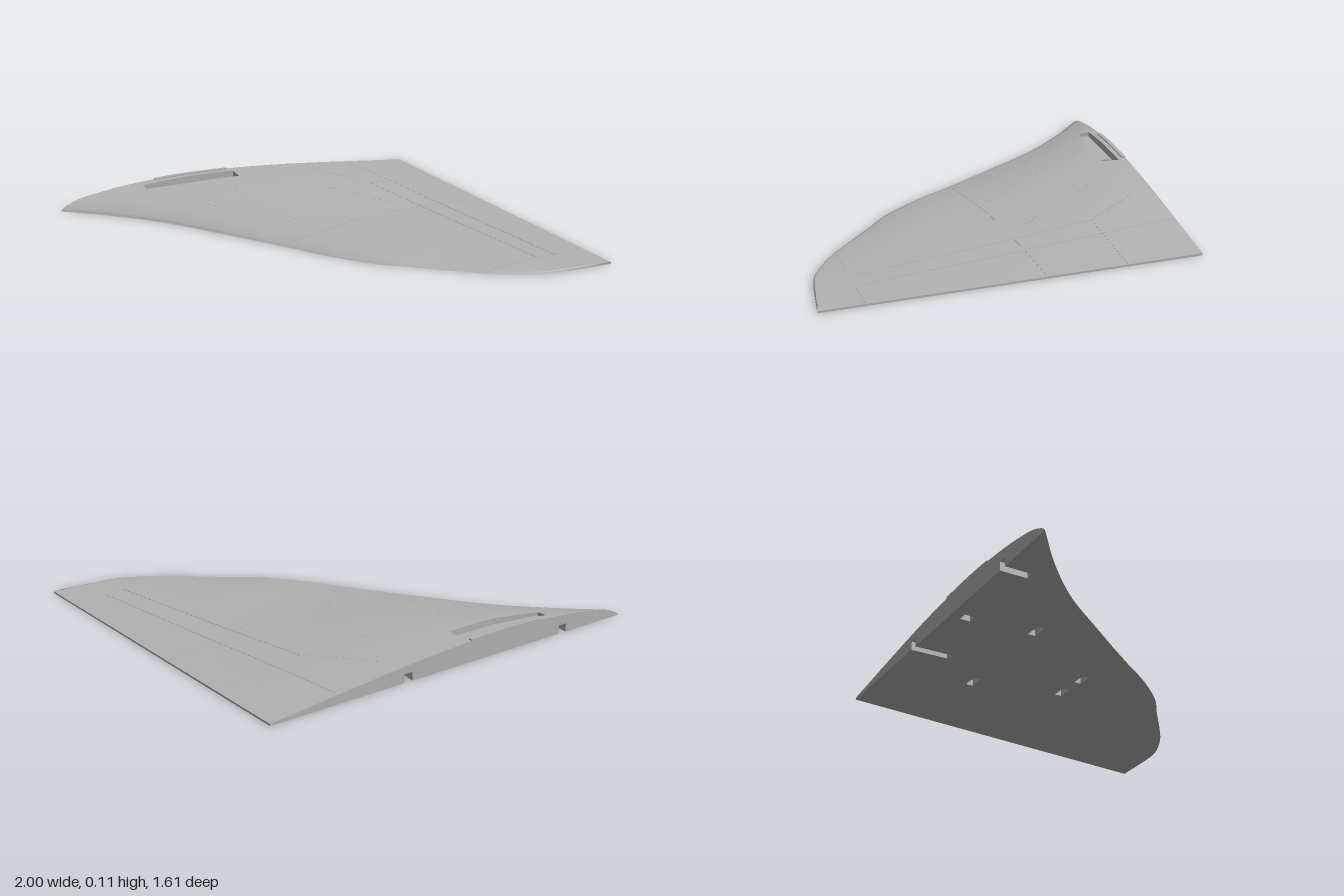
import * as THREE from 'three';
import { mergeGeometries } from 'three/addons/utils/BufferGeometryUtils.js';

const BACK = -0.805, TIP = 0.805;

// Smooth curve through points, read as a function of the first coordinate
function curveFn(points) {
  const pts = new THREE.CatmullRomCurve3(points.map(([a, b]) => new THREE.Vector3(a, b, 0))).getPoints(240);
  return (a) => {
    if (a <= pts[0].x) return pts[0].y;
    for (let i = 1; i < pts.length; i++) {
      if (a <= pts[i].x) {
        const p = pts[i - 1], q = pts[i];
        return p.y + (q.y - p.y) * (a - p.x) / Math.max(q.x - p.x, 1e-9);
      }
    }
    return pts[pts.length - 1].y;
  };
}

// Planform and thickness rules
const leading = curveFn([[BACK, -1], [-0.65, -0.8], [-0.46, -0.6], [-0.21, -0.4], [0.05, -0.2], [0.24, -0.06],
  [0.4, 0.09], [0.48, 0.2], [0.61, 0.37], [0.7, 0.5], [0.775, 0.66], [0.79, 0.75], [TIP, 0.99]]);
const trailing = (z) => 0.81 + 0.19 * (z - BACK) / (TIP - BACK);
const thickness = curveFn([[BACK, 0.092], [-0.6, 0.085], [-0.4, 0.071], [0, 0.041], [0.3, 0.027], [0.6, 0.01], [TIP, 0.002]]);
const section = curveFn([[0, 0], [0.01, 0.17], [0.05, 0.44], [0.1, 0.63], [0.2, 0.87], [0.33, 1], [0.45, 0.97],
  [0.6, 0.8], [0.75, 0.53], [0.9, 0.22], [1, 0.01]]);
function height(x, z) {
  const a = leading(z), t = THREE.MathUtils.clamp((x - a) / (trailing(z) - a), 0, 1);
  return thickness(z) * section(t) + 0.008 * Math.min(1, t * 20);
}

// Curved skin between two x limits and two z limits
function patch(z0, z1, xa, xb, nx, nz, power = 1, lift = 0) {
  const pos = [], nor = [], idx = [], e = 0.004, n = new THREE.Vector3();
  for (let j = 0; j <= nz; j++) {
    const z = z0 + (z1 - z0) * j / nz;
    for (let i = 0; i <= nx; i++) {
      const x = xa(z) + (xb(z) - xa(z)) * (i / nx) ** power;
      pos.push(x, height(x, z) + lift, z);
      n.set((height(x - e, z) - height(x + e, z)) / (2 * e), 1, (height(x, z - e) - height(x, z + e)) / (2 * e)).normalize();
      nor.push(n.x, n.y, n.z);
      if (i < nx && j < nz) {
        const a = j * (nx + 1) + i, b = a + nx + 1;
        idx.push(a, b, a + 1, a + 1, b, b + 1);
      }
    }
  }
  const g = new THREE.BufferGeometry();
  g.setAttribute('position', new THREE.Float32BufferAttribute(pos, 3));
  g.setAttribute('normal', new THREE.Float32BufferAttribute(nor, 3));
  g.setIndex(idx);
  return g;
}

// Upright wall along an [x, z] path
function wall(path, low, high) {
  const pos = [];
  for (let i = 1; i < path.length; i++) {
    const [x, z] = path[i - 1], [u, w] = path[i];
    const a = [x, low(x, z), z], b = [u, low(u, w), w], c = [u, high(u, w), w], d = [x, high(x, z), z];
    pos.push(...a, ...b, ...c, ...a, ...c, ...d);
  }
  const g = new THREE.BufferGeometry();
  g.setAttribute('position', new THREE.Float32BufferAttribute(pos, 3));
  g.computeVertexNormals();
  return g;
}

// Flat [x, z] plate facing up or down
function plate(outline, y, up, holes = []) {
  const s = up ? -1 : 1, pts = (list) => list.map(([x, z]) => new THREE.Vector2(x, s * z));
  const shape = new THREE.Shape(pts(outline));
  shape.holes = holes.map((h) => new THREE.Path(pts(h)));
  return new THREE.ShapeGeometry(shape).rotateX(s * Math.PI / 2).translate(0, y, 0);
}

const rect = (x0, x1, z0, z1) => [[x0, z0], [x1, z0], [x1, z1], [x0, z1]];
const closed = (list) => [...list, list[0]];
const flat = (y) => () => y;
// Evenly spaced points along a polyline
const divide = (list, n) => list.slice(1).flatMap(([x, z], k) => Array.from({ length: n + 1 }, (_, i) =>
  [list[k][0] + (x - list[k][0]) * i / n, list[k][1] + (z - list[k][1]) * i / n]));

export function createModel() {
  const group = new THREE.Group();
  const grey = new THREE.MeshStandardMaterial({ color: 0xb2b2b2, side: THREE.DoubleSide });
  grey.name = 'wing grey';
  const add = (name, geometry) => {
    const m = new THREE.Mesh(geometry, grey);
    m.name = name;
    group.add(m);
  };

  // Upper skin, left open around the pocket
  const slant = (z) => -0.6 + 0.22 * (z + 0.715) / 0.035;
  add('upperSkin', mergeGeometries([
    patch(BACK, -0.765, leading, trailing, 70, 2, 1.6),
    patch(-0.765, -0.715, leading, flat(-0.6), 24, 3, 2),
    patch(-0.715, -0.68, leading, slant, 24, 3, 2),
    patch(-0.765, -0.68, flat(-0.14), trailing, 36, 4),
    patch(-0.68, 0.7, leading, trailing, 70, 64, 1.6),
    patch(0.7, TIP, leading, trailing, 70, 20, 1.6),
  ]));

  // Pocket with a through hole
  const pocket = [[-0.6, -0.765], [-0.14, -0.765], [-0.14, -0.68], [-0.38, -0.68], [-0.6, -0.715]];
  const shaft = rect(-0.24, -0.195, -0.755, -0.71);
  add('pocketFloor', plate(pocket, 0.065, true, [shaft]));
  add('pocketWalls', wall(divide(closed(pocket), 8), flat(0.065), height));
  add('shaftWalls', wall(closed(shaft), flat(0), flat(0.065)));

  // Low lip beside the root edge
  add('rootLip', mergeGeometries([
    patch(BACK, -0.787, flat(-0.53), flat(-0.16), 16, 1, 1, 0.006).toNonIndexed(),
    ...[wall(divide(closed(rect(-0.53, -0.16, BACK, -0.787)), 10), height, (x, z) => height(x, z) + 0.006)],
  ].map((g) => { g.deleteAttribute('uv'); return g; })));

  // Underside with fitting wells and two slots open at the root
  const slots = [[0.14, 0.18, -0.635], [-0.685, -0.645, -0.685]];
  const wells = [[0.343, -0.425], [-0.255, -0.43], [0.235, -0.02], [0.07, -0.013]]
    .map(([x, z]) => rect(x - 0.04, x + 0.04, z - 0.017, z + 0.017));
  const outline = [];
  for (let i = 0; i <= 120; i++) {
    const z = BACK + (TIP - BACK) * (1 - (1 - i / 120) ** 1.5);
    outline.push([leading(z), z]);
  }
  outline.push([1, TIP], [0.81, BACK]);
  for (const [a, b, z] of slots) outline.push([b, BACK], [b, z], [a, z], [a, BACK]);
  add('underside', plate(outline, 0, false, [...wells, shaft]));
  wells.forEach((w) => {
    add('fittingWellWalls', wall(closed(w), flat(0), flat(0.028)));
    add('fittingWellCeiling', plate(w, 0.028, false));
  });
  slots.forEach(([a, b, z]) => {
    add('rootSlotWalls', wall([[a, BACK], [a, z], [b, z], [b, BACK]], flat(0), flat(0.04)));
    add('rootSlotCeiling', plate(rect(a, b, BACK, z), 0.04, false));
  });

  // Root face with notches, trailing edge and tip edge
  const face = [];
  for (let i = 0; i <= 70; i++) {
    const x = -1 + 1.81 * (i / 70) ** 1.6;
    face.push([x, height(x, BACK)]);
  }
  face.push([0.81, 0]);
  for (const [a, b] of slots) face.push([b, 0], [b, 0.04], [a, 0.04], [a, 0]);
  const rootShape = new THREE.Shape(face.map(([x, y]) => new THREE.Vector2(-x, y)));
  add('rootFace', new THREE.ShapeGeometry(rootShape).rotateY(Math.PI).translate(0, 0, BACK));
  add('trailingEdge', wall(divide([[1, TIP], [0.81, BACK]], 20), flat(0), height));
  add('tipEdge', wall(divide([[0.99, TIP], [1, TIP]], 2), flat(0), height));

  // Fine raised panel seams
  const seams = [
    [[-0.17, 0.05], [0, 0.03], [0.29, -0.03], [0.66, -0.09], [0.88, -0.12]],
    [[0.5, 0.665], [0.97, 0.62]],
    [[0.82, 0.64], [0.5, -0.79]],
    [[0.73, 0.64], [0.45, -0.45]],
    [[0.46, -0.44], [0.84, -0.47]],
  ];
  for (const seam of seams) {
    const pts = divide(seam, 8).map(([x, z]) => new THREE.Vector3(x, height(x, z), z));
    const bars = [];
    for (let i = 1; i < pts.length; i++) {
      const length = pts[i].distanceTo(pts[i - 1]);
      if (length < 1e-6) continue;
      const o = new THREE.Object3D();
      o.position.copy(pts[i - 1]).lerp(pts[i], 0.5);
      o.lookAt(pts[i]);
      o.updateMatrix();
      bars.push(new THREE.BoxGeometry(0.004, 0.002, length).applyMatrix4(o.matrix));
    }
    add('panelSeam', mergeGeometries(bars));
  }

  // Rivet rows
  const rows = [[-0.32, -0.62, 0.16, -0.03], [-0.4, -0.47, -0.02, 0], [0.12, -0.53, 0.42, -0.16], [0.24, -0.7, 0.44, -0.46]];
  for (const [x0, z0, x1, z1] of rows) {
    add('rivetRow', mergeGeometries(divide([[x0, z0], [x1, z1]], 20).map(([x, z]) =>
      new THREE.CylinderGeometry(0.003, 0.003, 0.002, 6).translate(x, height(x, z), z))));
  }
  return group;
}
